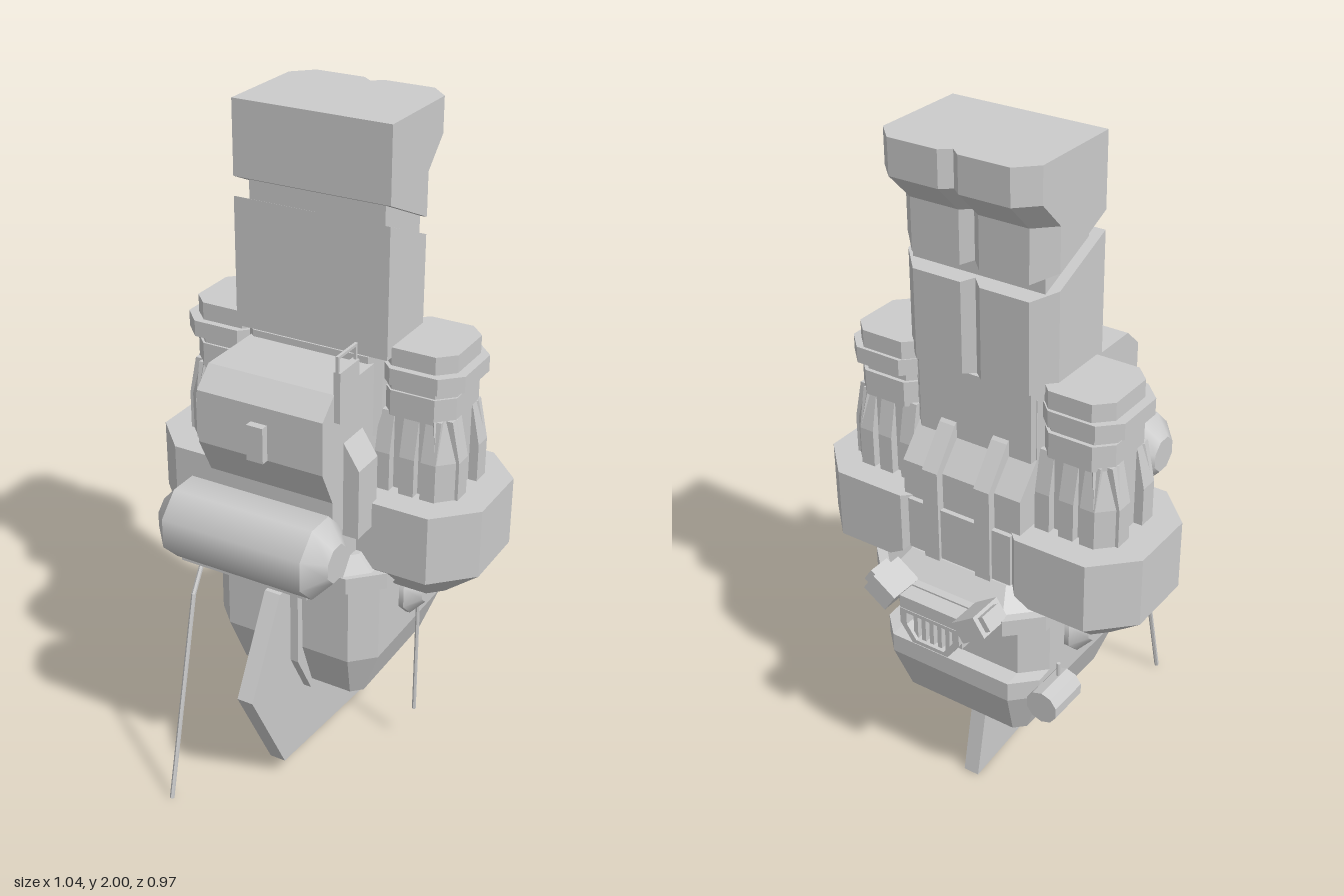
import * as THREE from 'three';

const grey = new THREE.MeshStandardMaterial({ color: 0xcccccc, flatShading: true, side: THREE.DoubleSide });
const smooth = new THREE.MeshStandardMaterial({ color: 0xcccccc, side: THREE.DoubleSide });

// Joins horizontal rings of [x, y, z] points, bottom to top, with capped ends
function loft(rings) {
  const n = rings[0].length;
  let area = 0;
  rings[0].forEach((p, i) => { const q = rings[0][(i + 1) % n]; area += p[2] * q[0] - q[2] * p[0]; });
  if (area < 0) rings = rings.map(r => [...r].reverse());
  const pos = [];
  const tri = (a, b, c) => pos.push(...a, ...b, ...c);
  for (let k = 0; k < rings.length - 1; k++) {
    const a = rings[k], b = rings[k + 1];
    for (let i = 0; i < n; i++) {
      const j = (i + 1) % n;
      tri(a[i], a[j], b[j]);
      tri(a[i], b[j], b[i]);
    }
  }
  const cap = (r, up) => THREE.ShapeUtils
    .triangulateShape(r.map(p => new THREE.Vector2(p[2], p[0])), [])
    .forEach(([a, b, c]) => (up ? tri(r[a], r[b], r[c]) : tri(r[c], r[b], r[a])));
  cap(rings[0], false);
  cap(rings[rings.length - 1], true);
  const g = new THREE.BufferGeometry();
  g.setAttribute('position', new THREE.Float32BufferAttribute(pos, 3));
  g.computeVertexNormals();
  return g;
}

// Rectangle with cut corners at height y
const oct = (y, x0, x1, z0, z1, c) => [
  [x0 + c, y, z0], [x1 - c, y, z0], [x1, y, z0 + c], [x1, y, z1 - c],
  [x1 - c, y, z1], [x0 + c, y, z1], [x0, y, z1 - c], [x0, y, z0 + c]];

// Side profile of [z, y] points given a width along x
function slab(points, width) {
  const shape = new THREE.Shape(points.map(p => new THREE.Vector2(...p)));
  return new THREE.ExtrudeGeometry(shape, { depth: width, bevelEnabled: false })
    .translate(0, 0, -width / 2).rotateY(-Math.PI / 2);
}

// Box from its limits
const block = (x0, x1, y0, y1, z0, z1) => new THREE.BoxGeometry(x1 - x0, y1 - y0, z1 - z0)
  .translate((x0 + x1) / 2, (y0 + y1) / 2, (z0 + z1) / 2);

export function createModel() {
  const model = new THREE.Group();
  const add = (name, geometry, parent = model, material = grey) => {
    const m = new THREE.Mesh(geometry, material);
    m.name = name;
    parent.add(m);
    return m;
  };
  const rod = (name, a, b, r) => {
    const p = new THREE.Vector3(...a), q = new THREE.Vector3(...b);
    const m = add(name, new THREE.CylinderGeometry(r, r, p.distanceTo(q), 6));
    m.position.copy(p).lerp(q, 0.5);
    m.quaternion.setFromUnitVectors(new THREE.Vector3(0, 1, 0), q.sub(p).normalize());
  };

  // Tower: cut back corners, a notch down the back, and a slanted gap
  const towerRing = (y, zb, slope = 0) => [
    [-0.235, 0.025], [0.235, 0.025], [0.235, zb + 0.055], [0.18, zb], [0.03, zb],
    [0, zb + 0.025], [-0.03, zb], [-0.18, zb], [-0.235, zb + 0.055],
  ].map(([x, z]) => [x, y + slope * (z - 0.025), z]);
  add('towerBase', loft([towerRing(1.36, -0.24), towerRing(1.735, -0.24, 0.42)]));
  add('towerTop', loft([towerRing(1.79, -0.24, 0.45), towerRing(1.82, -0.24),
    towerRing(1.9, -0.32), towerRing(2, -0.32)]));
  add('towerCore', block(-0.205, 0.205, 1.3, 1.85, -0.205, -0.005));

  // Central body and its back ribs
  add('body', slab([[0.04, 1.34], [0.235, 1.34], [0.295, 1.285], [0.295, 1.13], [0.24, 1.02],
    [0.24, 0.8], [0.17, 0.74], [-0.3, 0.74], [-0.3, 1.07], [-0.22, 1.16], [-0.22, 1.34]], 0.385));
  add('towerCollar', loft([oct(1.12, -0.21, 0.21, -0.23, 0.03, 0.03), oct(1.36, -0.21, 0.21, -0.23, 0.03, 0.03)]));
  add('frontLatch', block(-0.025, 0.025, 1.13, 1.235, 0.28, 0.318));
  for (const x of [-0.085, 0.085]) {
    add('backRib', slab([[-0.2, 1.22], [-0.24, 1.19], [-0.325, 1.08], [-0.325, 0.76], [-0.2, 0.76]], 0.05))
      .position.x = x;
  }
  add('backPanel', block(-0.17, 0.17, 0.8, 0.96, -0.315, -0.2));

  // Mirrored parts on both flanks
  for (const s of [1, -1]) {
    const side = new THREE.Group();
    side.name = s > 0 ? 'leftFlank' : 'rightFlank';
    model.add(side);
    const span = (y, x0, x1, z0, z1, c) => oct(y, s > 0 ? x0 : -x1, s > 0 ? x1 : -x0, z0, z1, c);

    add('pod', loft([span(0.65, 0.19, 0.405, -0.21, 0, 0.04),
      span(0.755, 0.08, 0.52, -0.325, 0.105, 0.11), span(0.965, 0.08, 0.52, -0.325, 0.105, 0.11)]), side);
    // Stack with ring and cap
    add('stackCore', loft([span(0.95, 0.19, 0.41, -0.22, -0.005, 0.045), span(1.29, 0.19, 0.41, -0.22, -0.005, 0.045)]), side);
    add('stackCollar', loft([span(1.19, 0.19, 0.412, -0.232, 0.002, 0.045), span(1.265, 0.19, 0.412, -0.232, 0.002, 0.045)]), side);
    add('stackRing', loft([span(1.29, 0.185, 0.437, -0.245, 0.02, 0.055), span(1.338, 0.185, 0.437, -0.245, 0.02, 0.055)]), side);
    add('stackCap', loft([span(1.338, 0.19, 0.41, -0.235, 0, 0.045), span(1.39, 0.19, 0.41, -0.235, 0, 0.045)]), side);

    // Buttresses with slanted tops around the stack: x, z, angle, width
    const q = Math.PI / 4;
    const fins = [[0.437, -0.05, 2, 0.055], [0.437, -0.175, 2, 0.055], [0.41, -0.005, 1, 0.07], [0.41, -0.22, 3, 0.07]];
    for (const x of [0.225, 0.3, 0.365]) fins.push([x, 0.022, 0, 0.045], [x, -0.245, 4, 0.045]);
    for (const [x, z, turn, width] of fins) {
      const fin = add('stackButtress', slab([[-0.05, 0.96], [0, 0.96], [0, 1.08], [-0.025, 1.2], [-0.05, 1.2]], width), side);
      fin.position.set(s * x, 0, z);
      fin.rotation.y = s * turn * q;
    }

    // Wedge box on the body side
    add('sideWedge', loft([
      [[0.17, 0.89, 0.078], [0.24, 0.89, 0.078], [0.24, 0.89, 0.182], [0.17, 0.89, 0.182]],
      [[0.17, 1.21, 0.078], [0.24, 1.1, 0.078], [0.24, 1.1, 0.182], [0.17, 1.21, 0.182]],
    ].map(r => r.map(([x, y, z]) => [s * x, y, z]))), side);

    // Tapered sensor dome on the lower hull
    const dome = new THREE.Group();
    dome.name = 'sensorDome';
    dome.position.set(s * 0.22, 0.588, -0.107);
    dome.rotation.z = -s * Math.PI / 2;
    side.add(dome);
    const turn = Math.PI / 8;
    add('domeBase', new THREE.CylinderGeometry(0.085, 0.085, 0.12, 8).rotateY(turn), dome, smooth);
    add('domeTip', new THREE.CylinderGeometry(0.04, 0.085, 0.04, 8).rotateY(turn).translate(0, 0.08, 0), dome, smooth);

    // Boxes flaring from the rear vent
    const flare = new THREE.Group();
    flare.name = 'ventWing';
    flare.position.set(s * 0.15, 0.748, -0.43);
    flare.rotation.z = s * 0.6;
    side.add(flare);
    add('wingBox', new THREE.BoxGeometry(0.085, 0.065, 0.11), flare);
    add('wingEnd', new THREE.BoxGeometry(0.03, 0.045, 0.07).translate(s * 0.045, 0, -0.005), flare);
  }

  // Lower hull and ledges
  add('lowerHull', loft([oct(0.3, -0.21, 0.21, -0.32, 0.105, 0.03), oct(0.45, -0.265, 0.265, -0.375, 0.16, 0.065),
    oct(0.51, -0.265, 0.265, -0.375, 0.16, 0.065), oct(0.515, -0.265, 0.265, -0.325, 0.16, 0.065),
    oct(0.72, -0.265, 0.265, -0.325, 0.16, 0.065)]));
  add('hullLedge', loft([oct(0.7, -0.29, 0.29, -0.405, 0.185, 0.085), oct(0.75, -0.29, 0.29, -0.405, 0.185, 0.085)]));
  add('hullShoulder', loft([oct(0.75, -0.25, 0.25, -0.38, 0.18, 0.06), oct(0.8, -0.21, 0.21, -0.32, 0.17, 0.05)]));
  add('bowBlock', block(-0.08, 0.08, 0.67, 0.762, 0.1, 0.212));

  // Keel fin and its mounting strip
  add('keelStrip', slab([[0.185, 0.7], [0.185, 0.41], [0.11, 0.27], [-0.255, 0.27], [-0.255, 0.35], [0, 0.7]], 0.1));
  add('keelFin', slab([[0.1, 0.67], [0.24, 0.67], [0.397, 0.39], [0.225, 0.06], [-0.282, 0.005], [-0.225, 0.28]], 0.05));

  // Front tank with tapered ends
  const tank = new THREE.Group();
  tank.name = 'frontTank';
  tank.position.set(0, 0.913, 0.345);
  tank.rotation.z = Math.PI / 2;
  model.add(tank);
  const eighth = Math.PI / 8;
  add('tankBarrel', new THREE.CylinderGeometry(0.115, 0.115, 0.43, 8).rotateY(eighth), tank, smooth);
  for (const s of [1, -1]) {
    add('tankEnd', new THREE.CylinderGeometry(s > 0 ? 0.055 : 0.115, s > 0 ? 0.115 : 0.055, 0.052, 8)
      .rotateY(eighth).translate(0, s * 0.241, 0), tank, smooth);
  }
  add('tankShelf', block(-0.2, 0.2, 0.8, 0.815, 0.2, 0.39));

  // Rear vent: hexagonal frame with upright bars
  const outline = k => [[-0.1, 0.05], [-0.1, 0], [-0.06, -0.055], [0.06, -0.055], [0.1, 0], [0.1, 0.05]]
    .map(([x, y]) => new THREE.Vector2(x * k, 0.655 + y * k));
  const frame = new THREE.Shape(outline(1));
  frame.holes.push(new THREE.Path(outline(0.78).reverse()));
  add('ventFrame', new THREE.ExtrudeGeometry(frame, { depth: 0.14, bevelEnabled: false }).translate(0, 0, -0.46));
  add('ventBack', block(-0.08, 0.08, 0.61, 0.7, -0.42, -0.32));
  for (let i = -2; i <= 2; i++) {
    add('ventBar', block(i * 0.027 - 0.007, i * 0.027 + 0.007, 0.613, 0.694, -0.45, -0.41));
  }
  add('ventHood', block(-0.1, 0.1, 0.7, 0.745, -0.458, -0.36));

  // Rear thruster on the right side
  const thruster = add('thruster', new THREE.CylinderGeometry(0.05, 0.05, 0.13, 10).rotateX(Math.PI / 2));
  thruster.position.set(-0.3, 0.46, -0.29);
  add('thrusterMount', block(-0.3, -0.22, 0.44, 0.48, -0.31, -0.26));
  rod('thrusterStrut', [-0.295, 0.55, -0.26], [-0.295, 0.48, -0.26], 0.006);

  // Aerials
  rod('leftAerial', [0.29, 0.55, -0.107], [0.29, 0.138, -0.107], 0.006);
  rod('frontAerialUpper', [-0.215, 0.8, 0.22], [-0.215, 0.64, 0.32], 0.007);
  rod('frontAerialLower', [-0.215, 0.64, 0.32], [-0.215, 0.003, 0.478], 0.007);

  // Signal plate with a wire loop on the left
  add('signalPlate', block(0.19, 0.21, 1.26, 1.405, 0.133, 0.235));
  for (const z of [0.137, 0.231]) add('loopPost', block(0.196, 0.204, 1.4, 1.45, z - 0.004, z + 0.004));
  add('loopBar', block(0.196, 0.204, 1.442, 1.45, 0.133, 0.235));
  return model;
}
